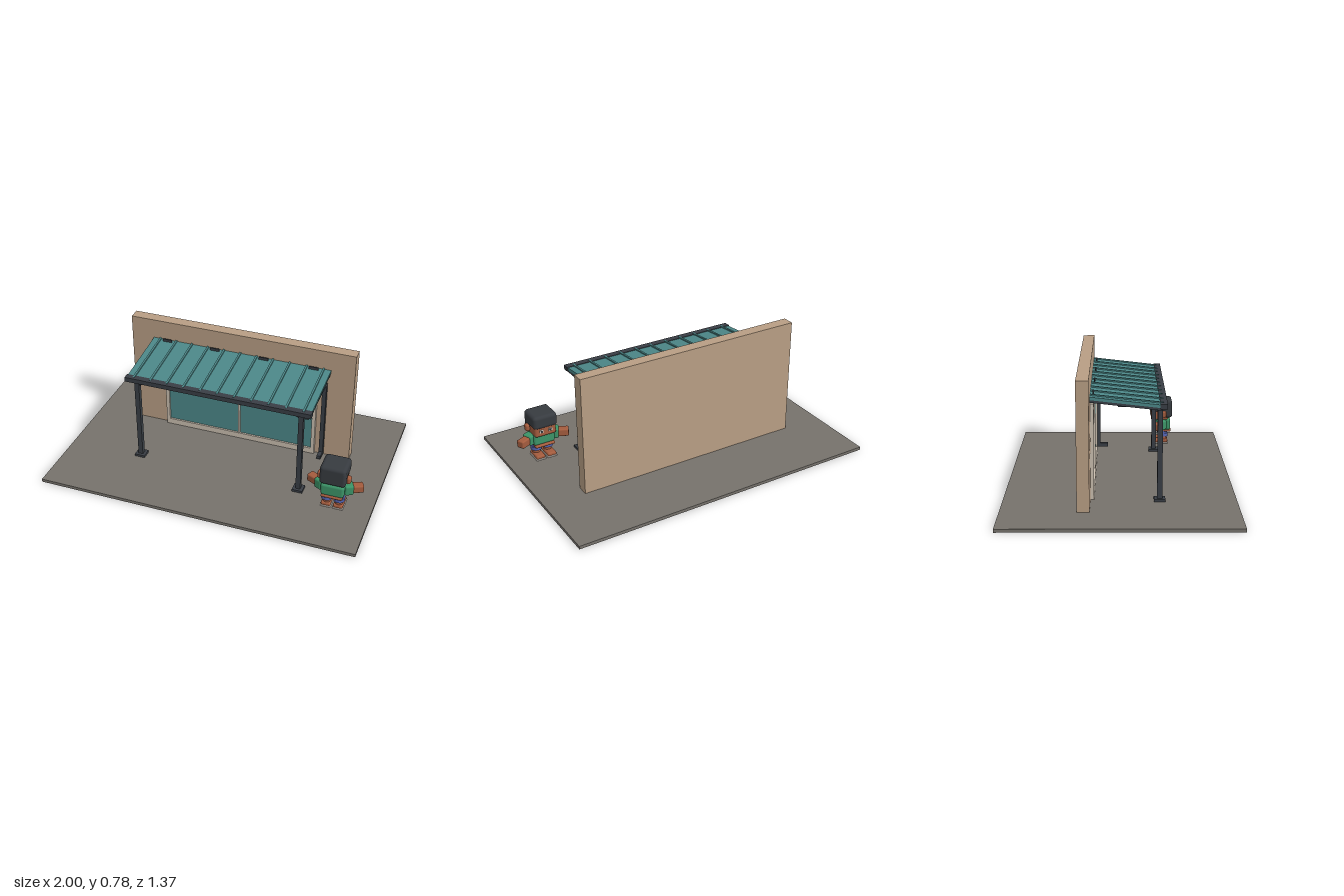
import * as THREE from 'three';
import { RoundedBoxGeometry } from 'three/addons/geometries/RoundedBoxGeometry.js';

const mat = (name, color) => {
  const m = new THREE.MeshStandardMaterial({ color });
  m.name = name;
  return m;
};

export function createModel() {
  const root = new THREE.Group();
  root.name = 'patioScene';
  const paving = mat('paving', 0x76726c), plaster = mat('plaster', 0xb89e84);
  const trim = mat('trim', 0xcabfb0), teal = mat('teal', 0x4c8788);
  const steel = mat('darkSteel', 0x393e45), skin = mat('skin', 0xa45c3e);
  const green = mat('greenShirt', 0x3c9468), blue = mat('blueDenim', 0x5566b4);
  const white = mat('white', 0xe0d8d0), hair = mat('hair', 0x373b40);

  const put = (parent, name, geo, m, x, y, z) => {
    const mesh = new THREE.Mesh(geo, m);
    mesh.name = name;
    mesh.position.set(x, y, z);
    parent.add(mesh);
    return mesh;
  };
  // box given by its limits on each axis
  const box = (parent, name, m, x0, x1, y0, y1, z0, z1) =>
    put(parent, name, new THREE.BoxGeometry(x1 - x0, y1 - y0, z1 - z0), m,
      (x0 + x1) / 2, (y0 + y1) / 2, (z0 + z1) / 2);
  const soft = (parent, name, m, x0, x1, y0, y1, z0, z1, r = 0.01) =>
    put(parent, name, new RoundedBoxGeometry(x1 - x0, y1 - y0, z1 - z0, 2, r), m,
      (x0 + x1) / 2, (y0 + y1) / 2, (z0 + z1) / 2);

  // ground and house wall
  box(root, 'ground', paving, -1, 1, 0, 0.02, -0.685, 0.685);
  box(root, 'wall', plaster, -0.737, 0.737, 0.02, 0.78, -0.245, -0.172);
  box(root, 'wallPanel', plaster, -0.68, -0.535, 0.315, 0.43, -0.173, -0.17);

  // sliding door: frame bars around two panes
  const door = new THREE.Group();
  door.name = 'slidingDoor';
  root.add(door);
  for (const s of [-1, 1]) {
    const a = s * 0.487, b = s * 0.51;
    box(door, 'doorJamb', trim, Math.min(a, b), Math.max(a, b), 0.02, 0.595, -0.172, -0.15);
    const p = s * 0.008;
    box(door, 'glassPane', teal, Math.min(p, a), Math.max(p, a), 0.058, 0.572, -0.172, -0.162);
  }
  box(door, 'doorSill', trim, -0.487, 0.487, 0.02, 0.058, -0.172, -0.15);
  box(door, 'doorHead', trim, -0.487, 0.487, 0.572, 0.595, -0.172, -0.15);
  box(door, 'doorMullion', trim, -0.008, 0.008, 0.058, 0.572, -0.172, -0.153);

  // sloping roof: local y = 0 is the top of the sheet
  const roof = new THREE.Group();
  roof.name = 'roof';
  roof.position.set(0, 0.63, 0.039);
  roof.rotation.x = 0.113;
  root.add(roof);
  box(roof, 'roofSheet', teal, -0.587, 0.587, -0.018, 0, -0.212, 0.193);
  for (let i = 0; i < 11; i++) {
    const x = -0.54 + i * 0.108;
    box(roof, 'roofRib', teal, x - 0.006, x + 0.006, -0.004, 0.008, -0.212, 0.213);
  }
  for (const s of [-1, 1]) {
    box(roof, 'rafter', steel, s * 0.57 - 0.014, s * 0.57 + 0.014, -0.033, -0.018, -0.212, 0.2);
  }

  // beams, gutter and wall brackets
  box(root, 'gutter', steel, -0.592, 0.592, 0.583, 0.612, 0.23, 0.272);
  box(root, 'frontBeam', steel, -0.57, 0.57, 0.572, 0.592, 0.215, 0.245);
  box(root, 'midPurlin', steel, -0.57, 0.57, 0.592, 0.613, -0.012, 0.038);
  for (let i = 0; i < 4; i++) {
    const x = -0.485 + i * 0.322;
    box(root, 'wallBracket', steel, x - 0.03, x + 0.03, 0.615, 0.668, -0.156, -0.148);
  }

  // posts with base plates and short diagonal braces
  for (const s of [-1, 1]) {
    const x = s * 0.525;
    box(root, 'post', steel, x - 0.015, x + 0.015, 0.02, 0.585, 0.217, 0.247);
    box(root, 'postBase', steel, x - 0.033, x + 0.033, 0.02, 0.035, 0.199, 0.265);
    const side = box(root, 'sideBrace', steel, -0.03, 0.03, -0.005, 0.005, -0.008, 0.008);
    side.position.set(x - s * 0.03, 0.566, 0.232);
    side.rotation.z = -s * 0.6;
    const back = box(root, 'backBrace', steel, -0.008, 0.008, -0.005, 0.005, -0.025, 0.025);
    back.position.set(x, 0.573, 0.212);
    back.rotation.x = 0.6;
  }

  // drainpipe from the gutter back to the wall, down and out
  const pipe = new THREE.Group();
  pipe.name = 'drainpipe';
  root.add(pipe);
  box(pipe, 'pipeTop', steel, 0.548, 0.574, 0.566, 0.588, -0.14, 0.258);
  box(pipe, 'pipeDown', steel, 0.548, 0.574, 0.04, 0.568, -0.156, -0.13);
  box(pipe, 'pipeOutlet', steel, 0.548, 0.574, 0.04, 0.063, -0.13, -0.08);

  // person standing at the corner, facing the house (-z)
  const person = new THREE.Group();
  person.name = 'person';
  person.position.set(0.762, 0, 0.29);
  root.add(person);
  for (const s of [-1, 1]) {
    const x = s * 0.038;
    soft(person, 'shoeSole', white, x - 0.032, x + 0.032, 0.02, 0.028, -0.062, 0.048, 0.003);
    soft(person, 'foot', skin, x - 0.03, x + 0.03, 0.026, 0.05, -0.06, 0.046);
    put(person, 'leg', new THREE.CylinderGeometry(0.026, 0.026, 0.07, 12), skin, x, 0.075, 0.013);
    put(person, 'trouserCuff', new THREE.CylinderGeometry(0.036, 0.036, 0.022, 12), blue, x, 0.081, 0.013);
    put(person, 'trouserLeg', new THREE.CylinderGeometry(0.028, 0.028, 0.018, 12), blue, x, 0.1, 0.013);
    // arm reaching out and toward the house
    const arm = new THREE.Group();
    arm.name = 'arm';
    arm.position.set(s * 0.06, 0.16, 0.01);
    arm.rotation.y = s > 0 ? 0.45 : Math.PI - 0.45;
    person.add(arm);
    soft(arm, 'sleeve', green, 0, 0.055, -0.034, 0.034, -0.034, 0.034, 0.012);
    soft(arm, 'forearm', skin, 0.04, 0.118, -0.025, 0.025, -0.026, 0.026, 0.009);
    soft(person, 'ear', skin, s * 0.088 - 0.014, s * 0.088 + 0.014, 0.212, 0.258, -0.005, 0.035, 0.012);
    box(person, 'eye', white, s * 0.03 - 0.012, s * 0.03 + 0.012, 0.218, 0.238, -0.073, -0.068);
    box(person, 'pupil', hair, s * 0.03 - 0.006, s * 0.03 + 0.006, 0.22, 0.234, -0.076, -0.072);
  }
  soft(person, 'hips', skin, -0.066, 0.066, 0.104, 0.122, -0.055, 0.068, 0.008);
  soft(person, 'shirt', green, -0.072, 0.072, 0.118, 0.198, -0.045, 0.064, 0.016);
  soft(person, 'face', skin, -0.072, 0.072, 0.188, 0.27, -0.07, 0.05, 0.016);
  soft(person, 'hairTop', hair, -0.08, 0.08, 0.245, 0.333, -0.077, 0.076, 0.022);
  soft(person, 'hairBack', hair, -0.08, 0.08, 0.207, 0.32, 0.005, 0.076, 0.018);
  return root;
}
